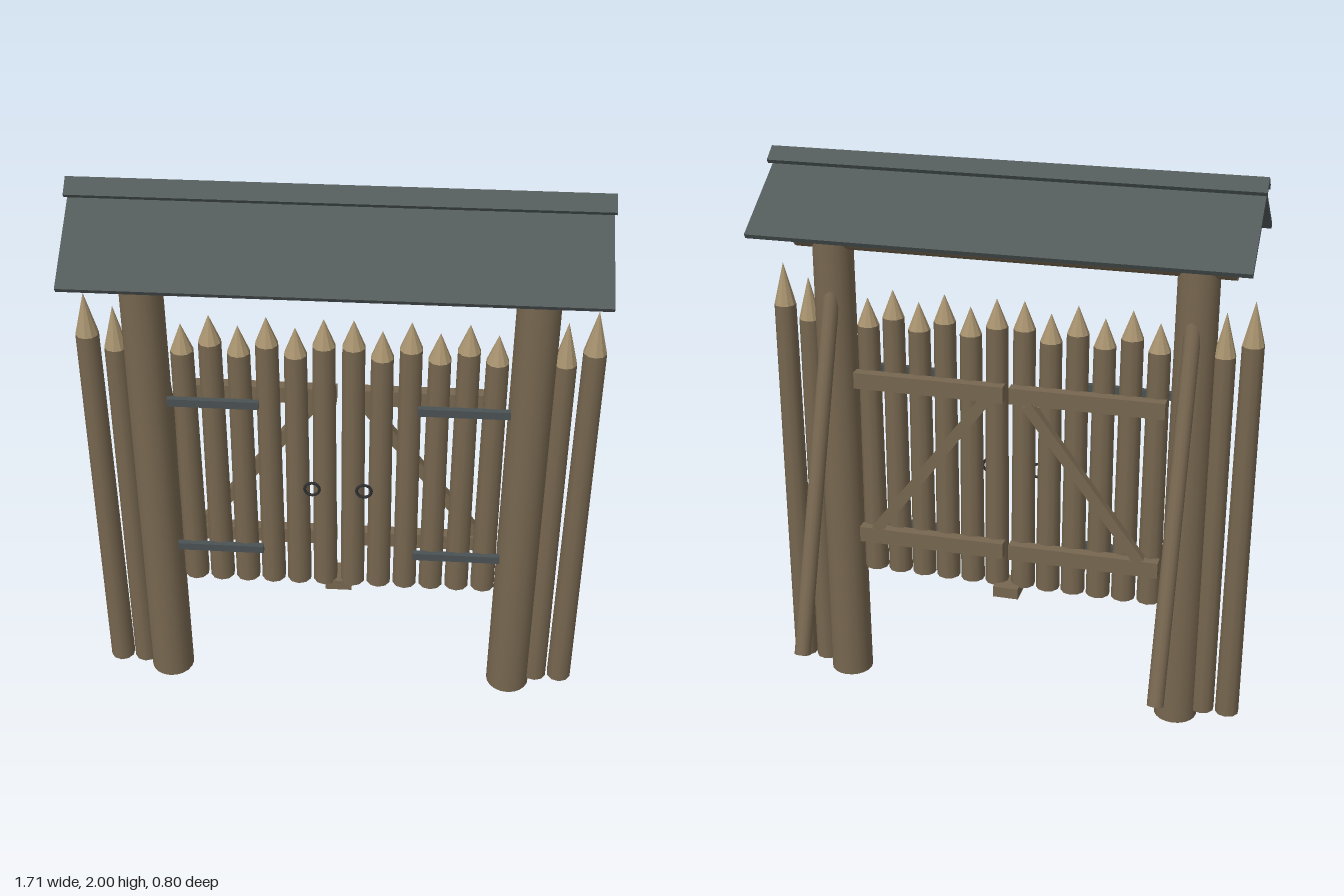
import * as THREE from 'three';

const mat = (name, color, extra = {}) => {
  const m = new THREE.MeshStandardMaterial({ color, ...extra });
  m.name = name;
  return m;
};

export function createModel() {
  const wood = mat('weathered wood', 0x76664f);
  const cut = mat('fresh cut wood', 0xa8936f, { flatShading: true });
  const slate = mat('slate grey roof', 0x525a5a);
  const iron = mat('dark iron', 0x4a5254);
  const ringIron = mat('black iron', 0x2c2e2f);
  const Z = 0.117; // plane of the palisade

  const model = new THREE.Group();
  model.name = 'palisadeGate';

  const add = (name, geometry, material, x, y, z, parent = model) => {
    const mesh = new THREE.Mesh(geometry, material);
    mesh.name = name;
    mesh.position.set(x, y, z);
    parent.add(mesh);
    return mesh;
  };
  const box = (name, w, h, d, material, x, y, z, parent) =>
    add(name, new THREE.BoxGeometry(w, h, d), material, x, y, z, parent);

  // Tapered log with a pointed, freshly cut tip
  const stake = (name, x, bottom, shoulder, tip, parent) => {
    const g = new THREE.Group();
    g.name = name;
    parent.add(g);
    const h = shoulder - bottom;
    add('shaft', new THREE.CylinderGeometry(0.038, 0.043, h, 10), wood, x, bottom + h / 2, Z, g);
    add('point', new THREE.ConeGeometry(0.038, tip - shoulder, 10), cut, x, (shoulder + tip) / 2, Z, g);
  };

  // Round pole between two points
  const pole = (name, a, b, r, parent) => {
    const dir = b.clone().sub(a);
    const mid = a.clone().add(b).multiplyScalar(0.5);
    const mesh = add(name, new THREE.CylinderGeometry(r, r, dir.length(), 12), wood, mid.x, mid.y, mid.z, parent);
    mesh.quaternion.setFromUnitVectors(new THREE.Vector3(0, 1, 0), dir.normalize());
  };

  // Folded roof sheet with square-cut eaves, extruded along x
  const roofSheet = (name, length, apex, half, eave, t) => {
    const len = Math.hypot(half, apex - eave);
    const nx = (apex - eave) / len * t, ny = half / len * t;
    const shape = new THREE.Shape([
      [0, apex], [-half, eave], [-half + nx, eave - ny],
      [0, apex - t * len / half], [half - nx, eave - ny], [half, eave],
    ].map(([x, y]) => new THREE.Vector2(x, y)));
    const geo = new THREE.ExtrudeGeometry(shape, { depth: length, bevelEnabled: false });
    geo.translate(0, 0, -length / 2).rotateY(Math.PI / 2);
    add(name, geo, slate, 0, 0, Z);
  };

  for (const s of [-1, 1]) {
    const side = s > 0 ? 'left' : 'right';

    // Gate post and its rear prop
    add(side + 'Post', new THREE.CylinderGeometry(0.069, 0.077, 1.875, 20), [wood, cut, wood], s * 0.625, 0.9375, Z);
    pole(side + 'Prop', new THREE.Vector3(s * 0.62, 0.34, -0.371), new THREE.Vector3(s * 0.62, 1.522, 0.075), 0.028, model);

    // Fence stakes outside the post
    stake(side + 'OuterStake', s * 0.812, 0.035, 1.445, 1.595, model);
    stake(side + 'InnerStake', s * 0.722, 0.035, 1.4, 1.55, model);

    // Gate leaf: six stakes, two rails, a diagonal brace
    const leaf = new THREE.Group();
    leaf.name = side + 'GateLeaf';
    model.add(leaf);
    for (let i = 0; i < 6; i++) {
      const drop = i % 2 ? 0.036 : 0;
      stake('gateStake', s * (0.048 + i * 0.092), 0.455, 1.432 - drop, 1.53 - drop, leaf);
    }
    for (const y of [0.61, 1.21]) {
      box('rail', 0.535, 0.058, 0.04, wood, s * 0.278, y, 0.066, leaf);
    }
    const brace = box('diagonalBrace', 0.038, 0.68, 0.034, wood, s * 0.277, 0.91, 0.057, leaf);
    brace.rotation.z = s * Math.atan2(0.41, 0.55);

    // Hinge straps and pull ring
    for (const y of [0.612, 1.222]) {
      box('hingeStrap', 0.3, 0.028, 0.02, iron, s * 0.41, y, 0.163, leaf);
    }
    add('pullRing', new THREE.TorusGeometry(0.025, 0.005, 8, 20), ringIron, s * 0.088, 0.886, 0.166, leaf);
  }

  // Lintel log with pale cut ends
  const lintel = add('lintel', new THREE.CylinderGeometry(0.058, 0.058, 1.5, 20), [wood, cut, cut], 0, 1.72, Z);
  lintel.rotation.z = Math.PI / 2;

  // Stop block under the meeting stakes
  box('stopBlock', 0.092, 0.04, 0.1, wood, 0, 0.443, Z - 0.02);

  // Roof and ridge cap
  roofSheet('roof', 1.64, 1.952, 0.283, 1.774, 0.018);
  roofSheet('ridgeCap', 1.65, 2.0, 0.05, 1.963, 0.016);

  return model;
}
